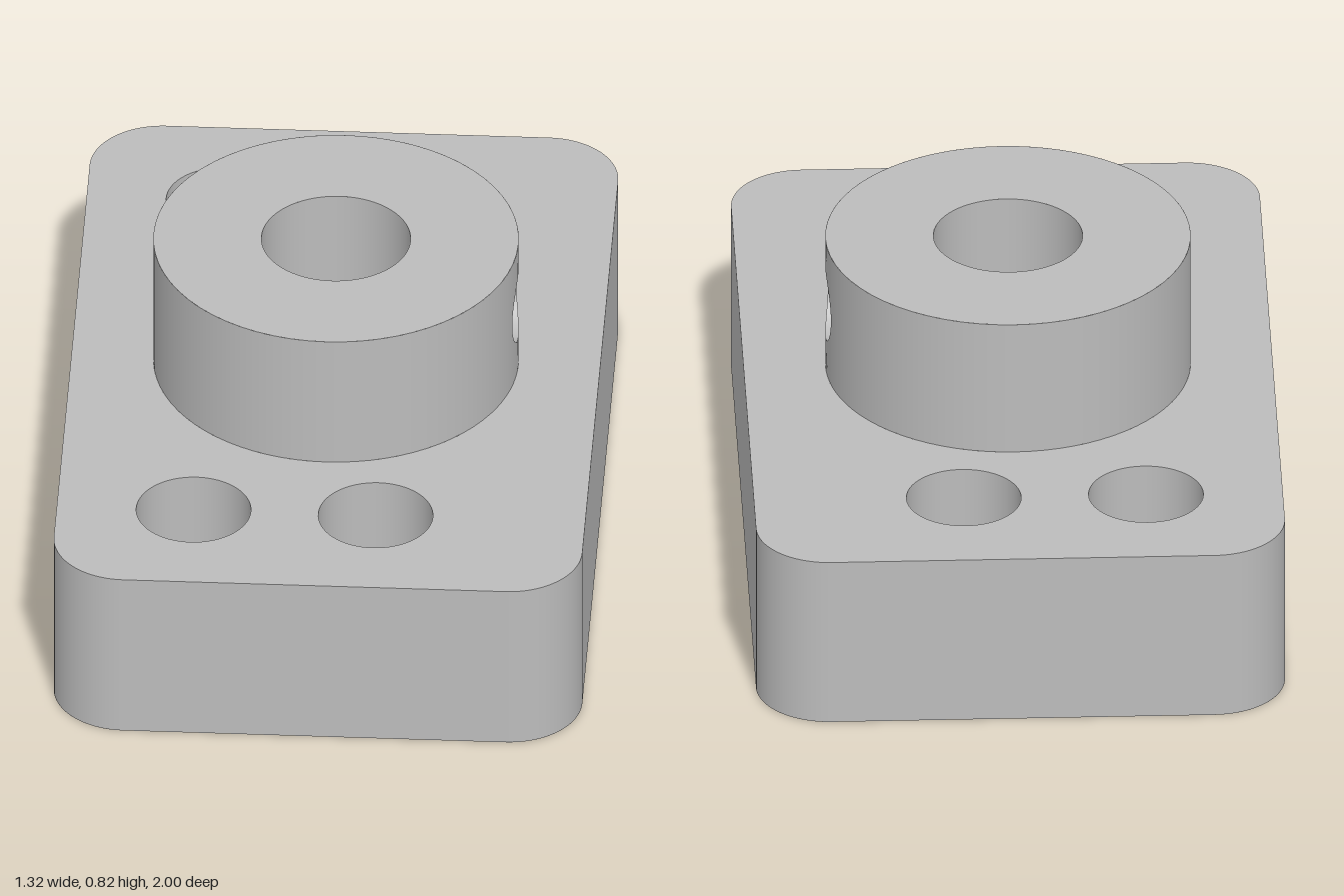
import * as THREE from 'three';
import { ParametricGeometry } from 'three/addons/geometries/ParametricGeometry.js';

// Main sizes
const W = 0.659, L = 1, CORNER = 0.182;          // plate half width, half length, corner radius
const PLATE = 0.455, TOP = 0.818;                // plate top and boss top
const BOSS = 0.455, BORE = 0.186;                // boss and bore radii
const SCREW = 0.083, SINK = 0.143, FLOOR = 0.24; // screw hole, counterbore, counterbore floor
const CROSS_Y = 0.636, CROSS = 0.0955, PILOT = 0.075, STEP = 0.25; // stepped cross hole
const SEG = 64;
const screwSpots = [[-0.318, -0.682], [0.136, -0.682], [-0.318, 0.682], [0.136, 0.682]];

const metal = new THREE.MeshStandardMaterial({ color: 0xbcbcbc, side: THREE.DoubleSide });
metal.name = 'grey metal';

function add(group, name, geometry) {
  const mesh = new THREE.Mesh(geometry, metal);
  mesh.name = name;
  group.add(mesh);
  return mesh;
}

// Open vertical tube wall, optionally leaving a gap of +-gap radians facing +x
function tubeWall(r, y0, y1, gap = 0) {
  return new THREE.CylinderGeometry(r, r, y1 - y0, SEG, 1, true, Math.PI / 2 + gap, Math.PI * 2 - 2 * gap)
    .translate(0, (y0 + y1) / 2, 0);
}

function ring(inner, outer, y) {
  return new THREE.RingGeometry(inner, outer, SEG).rotateX(-Math.PI / 2).translate(0, y, 0);
}

// Rounded plate face with circular holes
function plateFace(holes, up) {
  const s = new THREE.Shape();
  s.moveTo(W, -L + CORNER);
  [[1, 1], [-1, 1], [-1, -1], [1, -1]].forEach(([x, y], i) => {
    s.absarc(x * (W - CORNER), y * (L - CORNER), CORNER, i * Math.PI / 2, (i + 1) * Math.PI / 2, false);
  });
  for (const [x, y, r] of holes) {
    const p = new THREE.Path();
    p.absarc(x, y, r, 0, Math.PI * 2, true);
    s.holes.push(p);
  }
  return new THREE.ShapeGeometry(s, 32).rotateX(up ? -Math.PI / 2 : Math.PI / 2).translate(0, up ? PLATE : 0, 0);
}

// Plate rim: four smooth corners joined by flat sides
function plateRim() {
  const pos = [], nor = [], idx = [], n = 16;
  [[1, 1], [-1, 1], [-1, -1], [1, -1]].forEach(([sx, sz], q) => {
    for (let k = 0; k <= n; k++) {
      const a = (q + k / n) * Math.PI / 2, c = Math.cos(a), s = Math.sin(a);
      for (const y of [0, PLATE]) {
        pos.push(sx * (W - CORNER) + CORNER * c, y, sz * (L - CORNER) + CORNER * s);
        nor.push(c, 0, s);
      }
    }
  });
  const count = pos.length / 6;
  for (let i = 0; i < count; i++) {
    const a = 2 * i, b = 2 * ((i + 1) % count);
    idx.push(a, a + 1, b, b, a + 1, b + 1);
  }
  const g = new THREE.BufferGeometry();
  g.setAttribute('position', new THREE.Float32BufferAttribute(pos, 3));
  g.setAttribute('normal', new THREE.Float32BufferAttribute(nor, 3));
  g.setIndex(idx);
  return g;
}

// Curved wall patch facing +x, blending from the round opening to a rectangle
function openingPatch(R, r, gap) {
  const corners = [[gap, PLATE], [gap, TOP], [-gap, TOP], [-gap, PLATE]];
  return new ParametricGeometry((u, v, out) => {
    const t = u * 4, i = Math.min(3, Math.floor(t)), k = t - i;
    const [a0, y0] = corners[i], [a1, y1] = corners[(i + 1) % 4];
    const ea = a0 + (a1 - a0) * k, ey = y0 + (y1 - y0) * k;
    const len = Math.hypot(ea * R, ey - CROSS_Y);
    const ca = Math.asin(r * ea * R / len / R), cy = CROSS_Y + r * (ey - CROSS_Y) / len;
    const a = ca + (ea - ca) * v;
    out.set(R * Math.cos(a), cy + (ey - cy) * v, R * Math.sin(a));
  }, SEG, 8);
}

// Cross hole wall, running between two x positions that may follow a curved surface
function crossWall(r, xFrom, xTo) {
  return new ParametricGeometry((u, v, out) => {
    const z = r * Math.cos(u * Math.PI * 2), y = r * Math.sin(u * Math.PI * 2);
    out.set(xFrom(z) + (xTo(z) - xFrom(z)) * v, CROSS_Y + y, z);
  }, SEG, 2);
}
const onCylinder = R => z => Math.sqrt(R * R - z * z);

export function createModel() {
  const model = new THREE.Group();
  model.name = 'flangedMount';

  // Base plate
  const plate = new THREE.Group();
  plate.name = 'basePlate';
  model.add(plate);
  add(plate, 'plateRim', plateRim());
  add(plate, 'plateTop', plateFace([[0, 0, BOSS], ...screwSpots.map(p => [...p, SINK])], true));
  add(plate, 'plateBottom', plateFace([[0, 0, BORE], ...screwSpots.map(p => [...p, SCREW])], false));

  // Counterbored screw holes
  screwSpots.forEach(([x, z]) => {
    const hole = new THREE.Group();
    hole.name = 'screwHole';
    hole.position.set(x, 0, z);
    add(hole, 'screwHoleWall', tubeWall(SCREW, 0, FLOOR));
    add(hole, 'counterboreFloor', ring(SCREW, SINK, FLOOR));
    add(hole, 'counterboreWall', tubeWall(SINK, FLOOR, PLATE));
    model.add(hole);
  });

  // Boss and central bore
  const boss = new THREE.Group();
  boss.name = 'boss';
  model.add(boss);
  add(boss, 'bossTop', ring(BORE, BOSS, TOP));
  add(boss, 'bossWall', tubeWall(BOSS, PLATE, TOP, 0.5));
  add(boss, 'bossOpening', openingPatch(BOSS, CROSS, 0.5));
  add(boss, 'lowerBore', tubeWall(BORE, 0, PLATE));
  add(boss, 'upperBore', tubeWall(BORE, PLATE, TOP, 0.8));
  add(boss, 'boreOpening', openingPatch(BORE, PILOT, 0.8));

  // Stepped cross hole for a set screw
  const cross = new THREE.Group();
  cross.name = 'setScrewHole';
  model.add(cross);
  add(cross, 'outerCrossWall', crossWall(CROSS, onCylinder(BOSS), () => STEP));
  add(cross, 'crossStep', new THREE.RingGeometry(PILOT, CROSS, SEG).rotateY(Math.PI / 2).translate(STEP, CROSS_Y, 0));
  add(cross, 'innerCrossWall', crossWall(PILOT, () => STEP, onCylinder(BORE)));

  return model;
}
